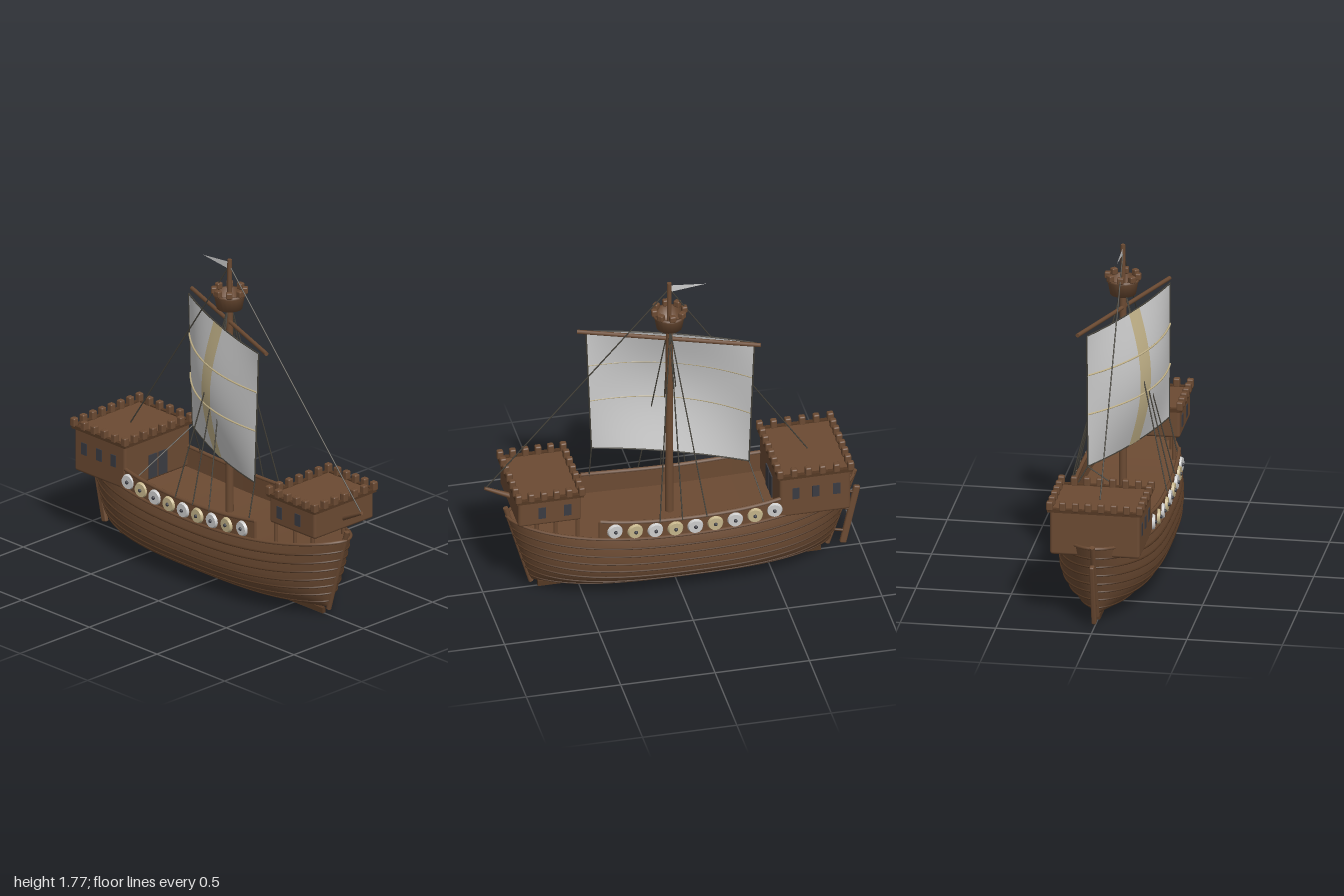
import * as THREE from 'three';
import { ParametricGeometry } from 'three/addons/geometries/ParametricGeometry.js';
import { RoundedBoxGeometry } from 'three/addons/geometries/RoundedBoxGeometry.js';

const paint = (color, side = THREE.FrontSide) => new THREE.MeshStandardMaterial({ color, side });
const wood = paint(0x6b4a32), woodSheet = paint(0x6b4a32, THREE.DoubleSide), darkWood = paint(0x543823);
const cloth = paint(0xcccccc, THREE.DoubleSide), beige = paint(0xc4b48a, THREE.DoubleSide);
const rope = paint(0x45423a), pane = paint(0x3a3b42), white = paint(0xcccccc);
const V = (x, y, z) => new THREE.Vector3(x, y, z);
const { lerp } = THREE.MathUtils;

function add(parent, name, geometry, material, x = 0, y = 0, z = 0) {
  const mesh = new THREE.Mesh(geometry, material);
  mesh.name = name;
  mesh.position.set(x, y, z);
  parent.add(mesh);
  return mesh;
}

function group(parent, name) {
  const g = new THREE.Group();
  g.name = name;
  parent.add(g);
  return g;
}

// Straight round bar between two points
function rod(parent, name, a, b, r0, material, r1 = r0, sides = 10) {
  const d = b.clone().sub(a);
  const mesh = add(parent, name, new THREE.CylinderGeometry(r1, r0, d.length(), sides), material);
  mesh.position.copy(a).addScaledVector(d, 0.5);
  mesh.quaternion.setFromUnitVectors(V(0, 1, 0), d.normalize());
  return mesh;
}

function sheet(parent, name, f, nu, nv, material) {
  return add(parent, name, new ParametricGeometry((u, v, p) => p.copy(f(u, v)), nu, nv), material);
}

function tube(parent, name, f, r, material, n = 40) {
  const points = Array.from({ length: n + 1 }, (_, i) => f(i / n));
  return add(parent, name, new THREE.TubeGeometry(new THREE.CatmullRomCurve3(points), n, r, 6), material);
}

// Hull surface: u runs stern (-1) to bow (1), v runs keel (0) to gunwale (1)
function hullPoint(u, v, side) {
  const x = lerp(lerp(-0.83, -0.965, v), lerp(0.75, 0.875, v), (u + 1) / 2);
  const y = lerp(0.03 + 0.02 * u ** 4, 0.375 + 0.085 * u * u, v);
  const plan = Math.max(0, 1 - Math.abs(u) ** 3) ** 0.6;
  const section = v < 0.6 ? Math.sqrt(Math.max(0, 1 - (1 - v / 0.6) ** 2.5)) : 1 - 0.07 * ((v - 0.6) / 0.4) ** 2;
  return V(x, y, side * 0.272 * plan * section);
}
const spread = t => Math.sin((t - 0.5) * Math.PI);
const gunwaleAt = (x, side) => hullPoint((x + 0.045) / 0.92, 1, side);

function buildHull(ship) {
  const hull = group(ship, 'hull');
  for (const side of [-1, 1]) {
    sheet(hull, 'hullSide', (a, b) => hullPoint(spread(a), b ** 1.6, side), 56, 24, woodSheet);
    for (const v of [0.1, 0.22, 0.34, 0.46, 0.59, 0.72, 0.85])
      tube(hull, 'plankRidge', t => hullPoint(spread(t), v, side), 0.006, darkWood, 48);
    tube(hull, 'gunwale', t => hullPoint(spread(t), 1, side), 0.009, wood, 48);
  }
  sheet(hull, 'deck', (a, b) => {
    const p = hullPoint(spread(a), 0.97, 1);
    p.z *= 2 * b - 1;
    return p;
  }, 48, 2, woodSheet);

  // Keel, stem and stern posts
  add(hull, 'keel', new THREE.BoxGeometry(1.5, 0.03, 0.022), darkWood, -0.04, 0.02, 0);
  rod(hull, 'stemPost', V(0.745, 0.04, 0), V(0.88, 0.51, 0), 0.014, wood);
  rod(hull, 'sternPost', V(-0.825, 0.04, 0), V(-0.97, 0.47, 0), 0.014, wood);

  // Rudder with its hinges
  const rudder = add(hull, 'rudder', new RoundedBoxGeometry(0.035, 0.35, 0.025, 2, 0.008), wood, -0.945, 0.2, 0);
  rudder.rotation.z = 0.22;
  for (const y of [0.1, 0.23, 0.33])
    rod(hull, 'rudderHinge', V(-0.92 - 0.22 * (y - 0.1), y, 0), V(-0.83 - 0.3 * (y - 0.05), y + 0.02, 0), 0.008, darkWood);
}

function buildBulwarks(ship) {
  const shieldDisc = new THREE.CylinderGeometry(0.036, 0.042, 0.014, 24).rotateX(Math.PI / 2);
  const bossBall = new THREE.SphereGeometry(0.01, 12, 8);
  const topY = x => 0.472 + 0.03 * ((x + 0.05) / 0.48) ** 2;
  for (const side of [-1, 1]) {
    const wall = group(ship, side > 0 ? 'frontBulwark' : 'backBulwark');
    const at = (t, h, inset) => {
      const p = gunwaleAt(lerp(-0.53, 0.43, t), side);
      return V(p.x, lerp(p.y - 0.01, topY(p.x), h), p.z - side * inset);
    };
    for (const inset of [0, 0.014]) sheet(wall, 'bulwarkFace', (a, b) => at(a, b, inset), 24, 1, woodSheet);
    tube(wall, 'bulwarkRail', t => at(t, 1, 0.007), 0.011, wood, 24);
    for (const t of [0, 1]) rod(wall, 'bulwarkEnd', at(t, 0, 0.007), at(t, 1, 0.007), 0.009, wood);

    // Row of shields hung outside
    for (let i = 0; i < 9; i++) {
      const x = -0.49 + i * 0.1056;
      const p = gunwaleAt(x, side);
      const shield = group(wall, 'shield');
      shield.position.set(x, topY(x) - 0.05, p.z + side * 0.008);
      shield.rotation.y = side > 0 ? -0.25 * x : Math.PI + 0.25 * x;
      add(shield, 'shieldDisc', shieldDisc, i % 2 ? beige : white);
      add(shield, 'shieldBoss', bossBall, pane, 0, 0, 0.008);
    }
  }
}

// Raised castle with a battlement all round
function buildCastle(ship, name, x0, x1, y0, y1, halfZ, nx, nz, windows, windowY) {
  const castle = group(ship, name);
  const cx = (x0 + x1) / 2, w = x1 - x0;
  add(castle, 'castleBody', new RoundedBoxGeometry(w, y1 - y0, halfZ * 2, 3, 0.015), wood, cx, (y0 + y1) / 2, 0);
  const merlon = new RoundedBoxGeometry(0.034, 0.05, 0.034, 2, 0.008);
  const put = (x, z) => add(castle, 'merlon', merlon, wood, x, y1 + 0.02, z);
  for (const side of [-1, 1]) {
    add(castle, 'longRim', new THREE.BoxGeometry(w + 0.02, 0.02, 0.022), darkWood, cx, y1 - 0.004, side * halfZ);
    add(castle, 'shortRim', new THREE.BoxGeometry(0.022, 0.02, halfZ * 2), darkWood, side > 0 ? x1 : x0, y1 - 0.004, 0);
    for (let i = 0; i < nx; i++) put(lerp(x0, x1, i / (nx - 1)), side * halfZ);
    for (let i = 1; i < nz - 1; i++) put(side > 0 ? x1 : x0, lerp(-halfZ, halfZ, i / (nz - 1)));
    for (const x of windows) add(castle, 'window', new THREE.BoxGeometry(0.038, 0.066, 0.008), pane, x, windowY, side * halfZ);
  }
  return castle;
}

function buildCastles(ship) {
  const aft = buildCastle(ship, 'aftCastle', -0.895, -0.52, 0.39, 0.64, 0.235, 6, 8, [-0.82, -0.71, -0.605], 0.53);
  for (const z of [-0.036, 0.036]) add(aft, 'doorLeaf', new THREE.BoxGeometry(0.008, 0.13, 0.06), pane, -0.518, 0.47, z);
  const fore = buildCastle(ship, 'foreCastle', 0.525, 0.86, 0.52, 0.68, 0.213, 6, 7, [0.6, 0.735], 0.595);
  for (const [x, z] of [[0.54, 0.18], [0.65, 0.15], [0.74, 0.11]])
    for (const side of [-1, 1]) rod(fore, 'supportPost', V(x, 0.38, side * z), V(x, 0.54, side * z), 0.011, wood);
  rod(fore, 'bowsprit', V(0.83, 0.57, 0), V(0.99, 0.648, 0), 0.016, wood, 0.009);
}

function buildMast(ship) {
  const mast = group(ship, 'mast');
  rod(mast, 'lowerMast', V(0.012, 0.36, 0), V(0.012, 1.52, 0), 0.022, wood, 0.018, 16);
  rod(mast, 'topMast', V(0.012, 1.5, 0), V(0.012, 1.775, 0), 0.013, wood, 0.012, 12);

  // Lookout tub, hollow with merlons round its rim
  const tub = [[0, 0], [0.067, 0], [0.08, 0.07], [0.086, 0.072], [0.086, 0.085], [0.074, 0.085], [0.066, 0.02], [0, 0.02]];
  add(mast, 'crowsNest', new THREE.LatheGeometry(tub.map(([r, y]) => new THREE.Vector2(r, y)), 20), woodSheet, 0.012, 1.505, 0);
  for (let i = 0; i < 8; i++) {
    const a = i * Math.PI / 4;
    const m = add(mast, 'nestMerlon', new RoundedBoxGeometry(0.03, 0.036, 0.034, 2, 0.007), wood,
      0.012 + 0.08 * Math.cos(a), 1.604, 0.08 * Math.sin(a));
    m.rotation.y = -a;
  }
  const flag = new THREE.Shape([[0, 0.02], [0, -0.02], [-0.19, 0.002]].map(p => new THREE.Vector2(...p)));
  add(mast, 'pennant', new THREE.ShapeGeometry(flag), cloth, 0.005, 1.74, 0);
  rod(mast, 'yard', V(-0.435, 1.43, -0.165), V(0.46, 1.43, 0.17), 0.011, wood);
}

// Billowing sail: s runs across, h runs from foot to head, lift stands off the cloth
function sailPoint(s, h, lift = 0) {
  const half = lerp(0.383, 0.412, h);
  const k = 2 * s - 1;
  const belly = 0.1 * (1 - k * k) * (0.3 + 0.7 * Math.sin(Math.PI * h)) + lift;
  return V(k * half - 0.35 * belly, lerp(0.69, 1.42, h), 0.03 + k * 0.15 + 0.94 * belly);
}

function buildSail(ship) {
  const sail = group(ship, 'sail');
  sheet(sail, 'sailCloth', (s, h) => sailPoint(s, h), 28, 28, cloth);
  sheet(sail, 'sailStripe', (s, h) => sailPoint(lerp(0.44, 0.565, s), h, 0.004), 6, 28, beige);
  for (const h of [0.4, 0.7]) tube(sail, 'reefBand', t => sailPoint(t, h, 0.004), 0.005, beige, 24);
  for (const h of [0, 1]) tube(sail, 'sailHem', t => sailPoint(t, h), 0.004, rope, 24);
  for (const s of [0, 1]) tube(sail, 'sailEdge', t => sailPoint(s, t), 0.004, rope, 16);
}

function buildRigging(ship) {
  const rigging = group(ship, 'rigging');
  const line = (name, a, b) => rod(rigging, name, a, b, 0.0035, rope, 0.0035, 6);
  line('forestay', V(0.012, 1.74, 0), V(0.985, 0.648, 0));
  line('backstay', V(0.012, 1.74, 0), V(-0.72, 0.64, 0));
  for (const side of [-1, 1]) {
    for (const x of [-0.13, 0.0, 0.12]) line('shroud', V(0.012, 1.5, side * 0.015), V(x, 0.47, side * 0.255));
    line('sheetAft', sailPoint(0, 0), V(-0.44, 0.48, side * 0.235));
  }
  line('sheetFore', sailPoint(1, 0), V(0.385, 0.47, 0.23));
}

export function createModel() {
  const ship = new THREE.Group();
  ship.name = 'sailingShip';
  for (const build of [buildHull, buildBulwarks, buildCastles, buildMast, buildSail, buildRigging]) build(ship);
  return ship;
}
